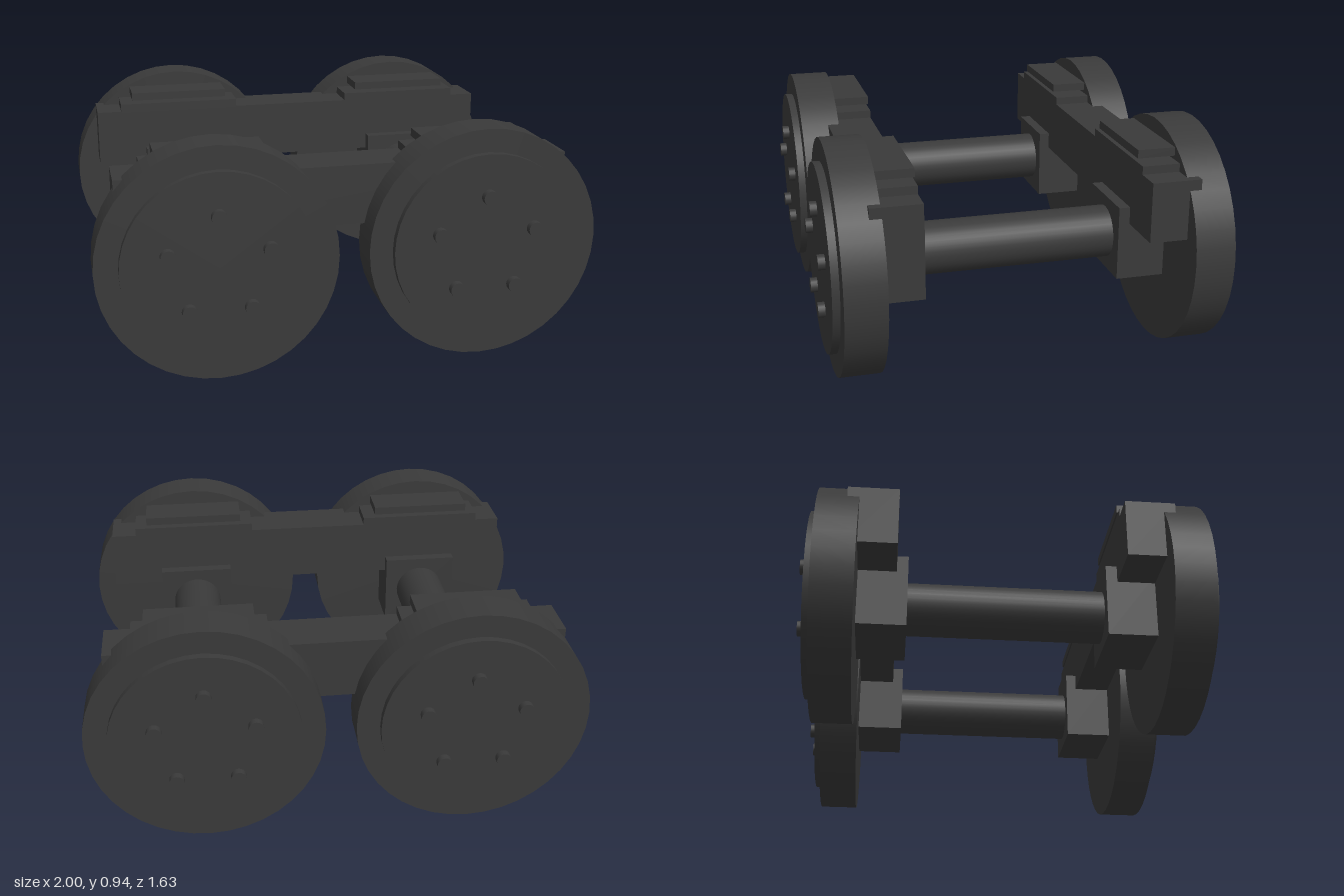
import * as THREE from 'three';

export function createModel() {
  const group = new THREE.Group();
  const iron = new THREE.MeshStandardMaterial({ color: 0x3a3a3a });
  iron.name = 'dark iron';
  const AXLE_X = 0.53, AXLE_Y = 0.472;

  const add = (name, geometry, x, y, z) => {
    const mesh = new THREE.Mesh(geometry, iron);
    mesh.name = name;
    mesh.position.set(x, y, z);
    group.add(mesh);
  };
  // Cylinder lying along z between z0 and z1
  const rod = (name, r, x, y, z0, z1, sides) =>
    add(name, new THREE.CylinderGeometry(r, r, Math.abs(z1 - z0), sides).rotateX(Math.PI / 2), x, y, (z0 + z1) / 2);
  // Box given by centre x, width and its y and z ranges
  const box = (name, x, w, y0, y1, z0, z1) =>
    add(name, new THREE.BoxGeometry(w, y1 - y0, Math.abs(z1 - z0)), x, (y0 + y1) / 2, (z0 + z1) / 2);

  for (const x of [-AXLE_X, AXLE_X]) {
    rod('axle', 0.107, x, AXLE_Y, -0.62, 0.62, 32);
    for (const s of [-1, 1]) {
      // Wheel with raised face and five bolts
      rod('wheel', 0.47, x, AXLE_Y, s * 0.593, s * 0.755, 40);
      rod('wheelFace', 0.377, x, AXLE_Y, s * 0.74, s * 0.785, 40);
      for (let i = 0; i < 5; i++) {
        const a = Math.PI / 2 + (i * Math.PI * 2) / 5;
        rod('bolt', 0.03, x + 0.205 * Math.cos(a), AXLE_Y + 0.205 * Math.sin(a), s * 0.77, s * 0.813, 16);
      }
      // Axle box and the two spring leaves above it
      box('axleBox', x, 0.32, 0.32, 0.625, s * 0.395, s * 0.62);
      box('lowerSpringLeaf', x, 0.535, 0.79, 0.83, s * 0.44, s * 0.64);
      box('upperSpringLeaf', x, 0.43, 0.846, 0.88, s * 0.44, s * 0.64);
    }
  }

  // Side frames
  for (const s of [-1, 1]) box('sideFrame', 0, 1.81, 0.555, 0.797, s * 0.44, s * 0.64);

  return group;
}
